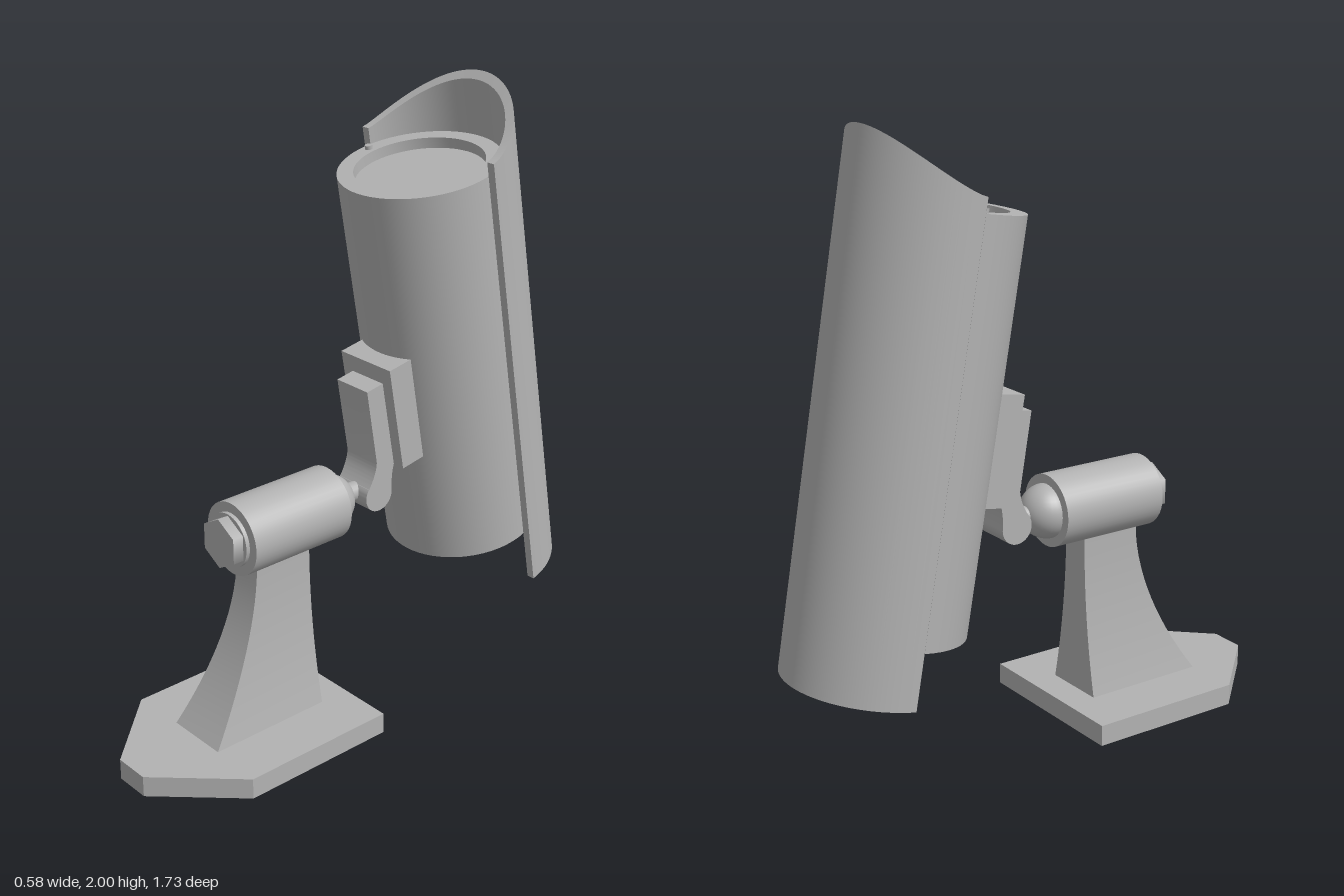
import * as THREE from 'three';
import { toCreasedNormals } from 'three/addons/utils/BufferGeometryUtils.js';

const grey = new THREE.MeshStandardMaterial({ color: 0xb2b2b2 });
grey.name = 'light grey';

function part(parent, name, geometry, x = 0, y = 0, z = 0) {
  const mesh = new THREE.Mesh(geometry, grey);
  mesh.name = name;
  mesh.position.set(x, y, z);
  parent.add(mesh);
  return mesh;
}

// Solid through a row of four-cornered cross-sections, capped at both ends
function loft(rings, crease = 0.5) {
  const pos = [];
  const quad = (a, b, c, d) => [a, b, c, a, c, d].forEach((p) => pos.push(...p));
  for (let i = 0; i < rings.length - 1; i++) {
    for (let k = 0; k < 4; k++) {
      const n = (k + 1) % 4;
      quad(rings[i][k], rings[i][n], rings[i + 1][n], rings[i + 1][k]);
    }
  }
  const [a, b, c, d] = rings[0];
  quad(a, d, c, b);
  quad(...rings[rings.length - 1]);
  const g = new THREE.BufferGeometry();
  g.setAttribute('position', new THREE.Float32BufferAttribute(pos, 3));
  return toCreasedNormals(g, crease);
}

// Cylinder lying along z between two depths
function zCylinder(r, z0, z1, sides = 40) {
  return new THREE.CylinderGeometry(r, r, z1 - z0, sides).rotateX(Math.PI / 2).translate(0, 0, (z0 + z1) / 2);
}

export function createModel() {
  const model = new THREE.Group();
  model.name = 'mountedCamera';

  // Base plate with a pointed front
  const plan = new THREE.Shape([
    [-0.29, -0.087], [-0.29, -0.622], [-0.06, -0.865], [0.06, -0.865], [0.29, -0.622], [0.29, -0.087],
  ].map(([x, y]) => new THREE.Vector2(x, y)));
  part(model, 'basePlate', new THREE.ExtrudeGeometry(plan, { depth: 0.07, bevelEnabled: false }).rotateX(-Math.PI / 2));

  // Pedestal flaring towards the base
  const rings = [];
  for (let i = 0; i <= 14; i++) {
    const s = i / 14;
    const w = 0.05 + 0.058 * (1 - s) ** 2;
    const zf = 0.4 + 0.215 * (1 - s) ** 1.8;
    const y = 0.07 + 0.55 * s;
    rings.push([[-w, y, zf], [w, y, zf], [w, y, 0.19], [-w, y, 0.19]]);
  }
  part(model, 'pedestal', loft(rings));

  // Swivel joint
  const jointY = 0.717;
  part(model, 'swivelBarrel', zCylinder(0.12, 0.073, 0.455), 0, jointY);
  part(model, 'boltWasher', zCylinder(0.088, 0.455, 0.468), 0, jointY);
  part(model, 'boltHead', zCylinder(0.083, 0.468, 0.505, 6), 0, jointY);
  part(model, 'swivelBall', new THREE.SphereGeometry(0.09, 32, 20), 0, jointY, 0.073);
  part(model, 'swivelNeck', zCylinder(0.032, -0.06, 0.02, 20), 0, jointY);

  // Bent arm, drawn in side profile and extruded across
  const profile = new THREE.Shape();
  profile.moveTo(-0.034, 1.085);
  profile.lineTo(-0.077, 0.83);
  profile.quadraticCurveTo(-0.075, 0.79, -0.045, 0.745);
  profile.absarc(-0.088, 0.712, 0.055, 0.64, -Math.PI, true);
  profile.quadraticCurveTo(-0.138, 0.77, -0.156, 0.82);
  profile.lineTo(-0.107, 1.098);
  const arm = new THREE.ExtrudeGeometry(profile, { depth: 0.14, bevelEnabled: false, curveSegments: 16 });
  arm.translate(0, 0, -0.07).rotateY(-Math.PI / 2);
  part(model, 'arm', toCreasedNormals(arm, 0.5));

  // Tilted camera head
  const head = new THREE.Group();
  head.name = 'cameraHead';
  head.position.set(0, 1.108, -0.422);
  head.rotation.x = 0.176;
  model.add(head);

  part(head, 'mountBracket', new THREE.BoxGeometry(0.226, 0.358, 0.1), 0, -0.075, 0.27);

  // Round housing, recessed at both ends
  const outline = [
    [0, -0.61], [0.205, -0.61], [0.205, -0.65], [0.257, -0.65],
    [0.257, 0.65], [0.205, 0.65], [0.205, 0.615], [0, 0.615],
  ].map(([r, y]) => new THREE.Vector2(r, y));
  part(head, 'housing', toCreasedNormals(new THREE.LatheGeometry(outline, 64), 0.5));
  part(head, 'indicator', new THREE.CylinderGeometry(0.012, 0.012, 0.016, 16), -0.231, 0.655, 0);

  // Half-round sun shield with a swept upper edge
  const topAt = (z) => 0.7 + 0.147 * Math.max(0, (-0.035 - z) / 0.27) ** 1.4;
  const section = (a) => {
    const point = (r, top) => {
      const z = -0.015 - Math.max(0.02, r * Math.cos(a));
      return [r * Math.sin(a), top ? topAt(z) : -0.817, z];
    };
    return [point(0.29, false), point(0.29, true), point(0.263, true), point(0.263, false)];
  };
  const sections = [];
  for (let i = 0; i <= 48; i++) sections.push(section((i / 48 - 0.5) * Math.PI));
  part(head, 'sunShield', loft(sections));

  return model;
}
